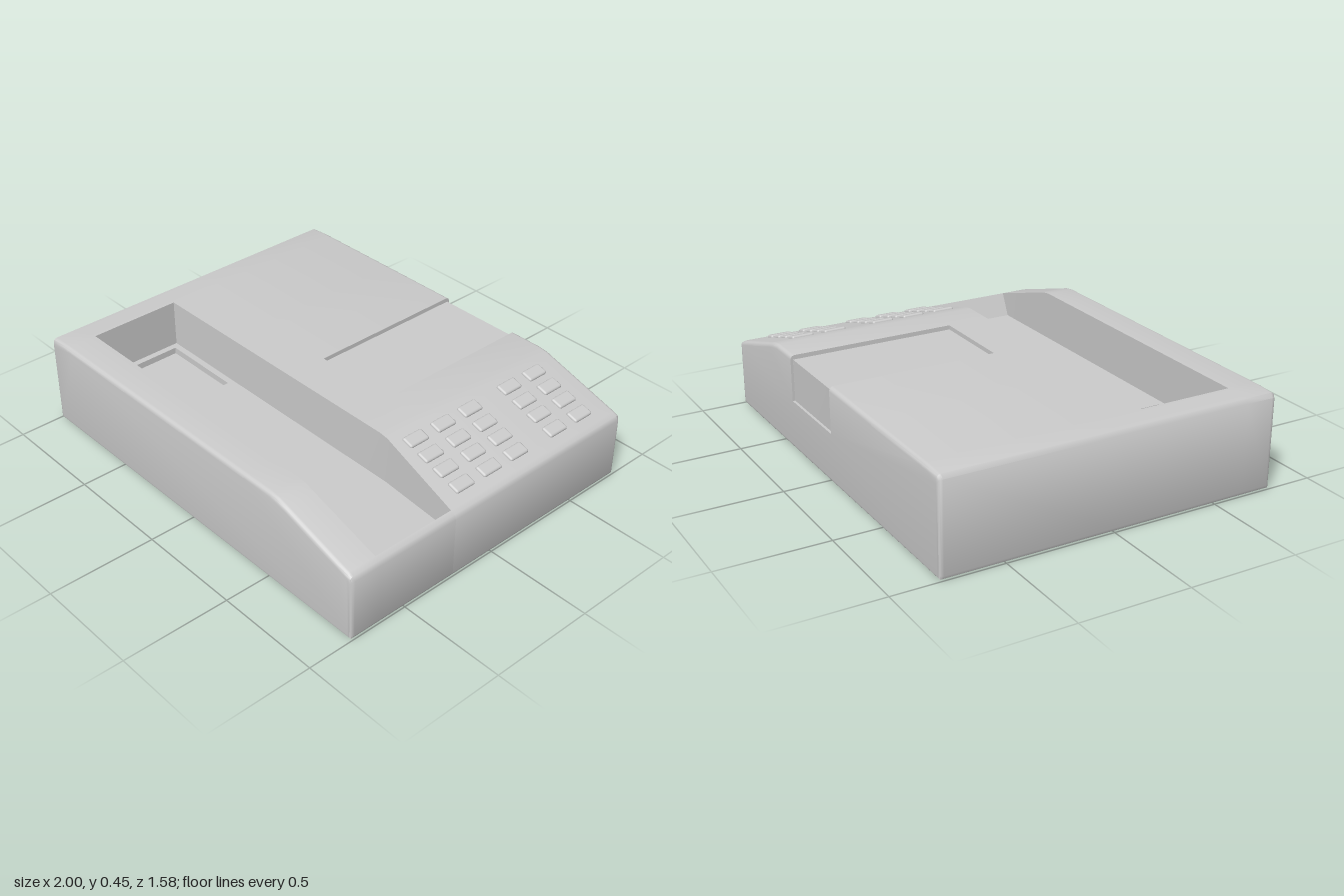
import * as THREE from 'three';
import { toCreasedNormals } from 'three/addons/utils/BufferGeometryUtils.js';
import { RoundedBoxGeometry } from 'three/addons/geometries/RoundedBoxGeometry.js';

const material = new THREE.MeshStandardMaterial({ color: 0xcccccc });
const HALF = 0.79, R = 0.02, E = 0.0001;

// Outline of the top, left rim to the low right edge
const outline = [[-1, 0.42], [-0.985, 0.438], [-0.9, 0.444], [0.53, 0.45], [0.575, 0.444],
  [0.62, 0.43], [0.97, 0.325], [0.99, 0.315], [1, 0.295]];

function topY(x) {
  for (let i = 1; i < outline.length; i++) {
    const [x0, y0] = outline[i - 1], [x1, y1] = outline[i];
    if (x <= x1) return y0 + (y1 - y0) * (x - x0) / (x1 - x0);
  }
  return 0.295;
}

const within = (v, a, b) => v > a && v < b;
const pair = v => [v - E, v + E];

// Height of the upper surface: sunken cover, cradle trough and its square well
function height(x, z) {
  const top = topY(x);
  if (within(x, -0.04, 0.37) && z < 0) return z < -0.778 ? 0.235 : top - 0.02;
  if (within(z, 0.2, 0.64) && within(x, -0.87, 0.97)) {
    if (within(x, -0.84, -0.44) && within(z, 0.23, 0.61)) return 0.19;
    return x < 0.92 ? 0.22 : 0.22 + (top - 0.22) * (x - 0.92) / 0.05;
  }
  return top;
}

// One closed cross-section, counter-clockwise seen from the front
function section(z, xs) {
  const u = Math.min(1, (HALF - Math.abs(z)) / R);
  const inset = R * (1 - Math.sqrt(1 - (1 - u) ** 2));
  const limit = 1 - inset;
  const points = [[-1 + R, 0], [1 - R, 0], [1 - 0.3 * R, 0.3 * R], [1, R]];
  for (const x of xs) points.push([x, Math.min(height(x, z), topY(x) - inset)]);
  points.push([-1, R], [-1 + 0.3 * R, 0.3 * R]);
  return points.map(([x, y]) => {
    // the rear lip of the trough drifts forward down the slope
    const drift = Math.abs(z - 0.2) < 0.001 ? 0.03 * Math.max(0, Math.min(1, (x - 0.57) / 0.4)) : 0;
    return new THREE.Vector3(THREE.MathUtils.clamp(x, -limit, limit), Math.max(y, inset), z + drift);
  });
}

function bodyGeometry() {
  const xs = [...outline.map(p => p[0]), 0.92, 0.8, 0.7,
    ...[-0.87, -0.84, -0.44, -0.04, 0.37].flatMap(pair)].sort((a, b) => b - a);
  const zs = [-HALF, -0.788, -0.784, ...pair(-0.778), -0.77, ...[0, 0.2, 0.23, 0.61, 0.64].flatMap(pair),
    0.77, 0.778, 0.784, 0.788, HALF];
  const rings = zs.map(z => section(z, xs));
  const n = rings[0].length, index = [];
  for (let i = 0; i < rings.length - 1; i++) {
    for (let j = 0; j < n; j++) {
      const k = (j + 1) % n, a = i * n, b = a + n;
      index.push(a + j, a + k, b + k, a + j, b + k, b + j);
    }
  }
  // flat front and back ends
  const cap = (ring, base, flip) => {
    const contour = ring.map(p => new THREE.Vector2(p.x, p.y));
    for (const [a, b, c] of THREE.ShapeUtils.triangulateShape(contour, [])) {
      index.push(base + a, base + (flip ? c : b), base + (flip ? b : c));
    }
  };
  cap(rings[0], 0, true);
  cap(rings[rings.length - 1], (rings.length - 1) * n, false);
  const geometry = new THREE.BufferGeometry().setFromPoints(rings.flat());
  geometry.setIndex(index);
  return toCreasedNormals(geometry, 0.7);
}

export function createModel() {
  const model = new THREE.Group();
  model.name = 'deskConsole';

  const body = new THREE.Mesh(bodyGeometry(), material);
  body.name = 'body';
  model.add(body);

  // Keypad on the slope: a block of two rows and a block of three
  const keypad = new THREE.Group();
  keypad.name = 'keypad';
  const keyShape = new RoundedBoxGeometry(0.06, 0.03, 0.107, 2, 0.01);
  for (const z of [-0.627, -0.467, -0.222, -0.062, 0.098]) {
    for (const x of [0.633, 0.722, 0.808, 0.897]) {
      const key = new THREE.Mesh(keyShape, material);
      key.name = 'key';
      key.position.set(x, topY(x) - 0.004, z);
      key.rotation.z = -Math.atan(0.3);
      keypad.add(key);
    }
  }
  model.add(keypad);
  return model;
}
